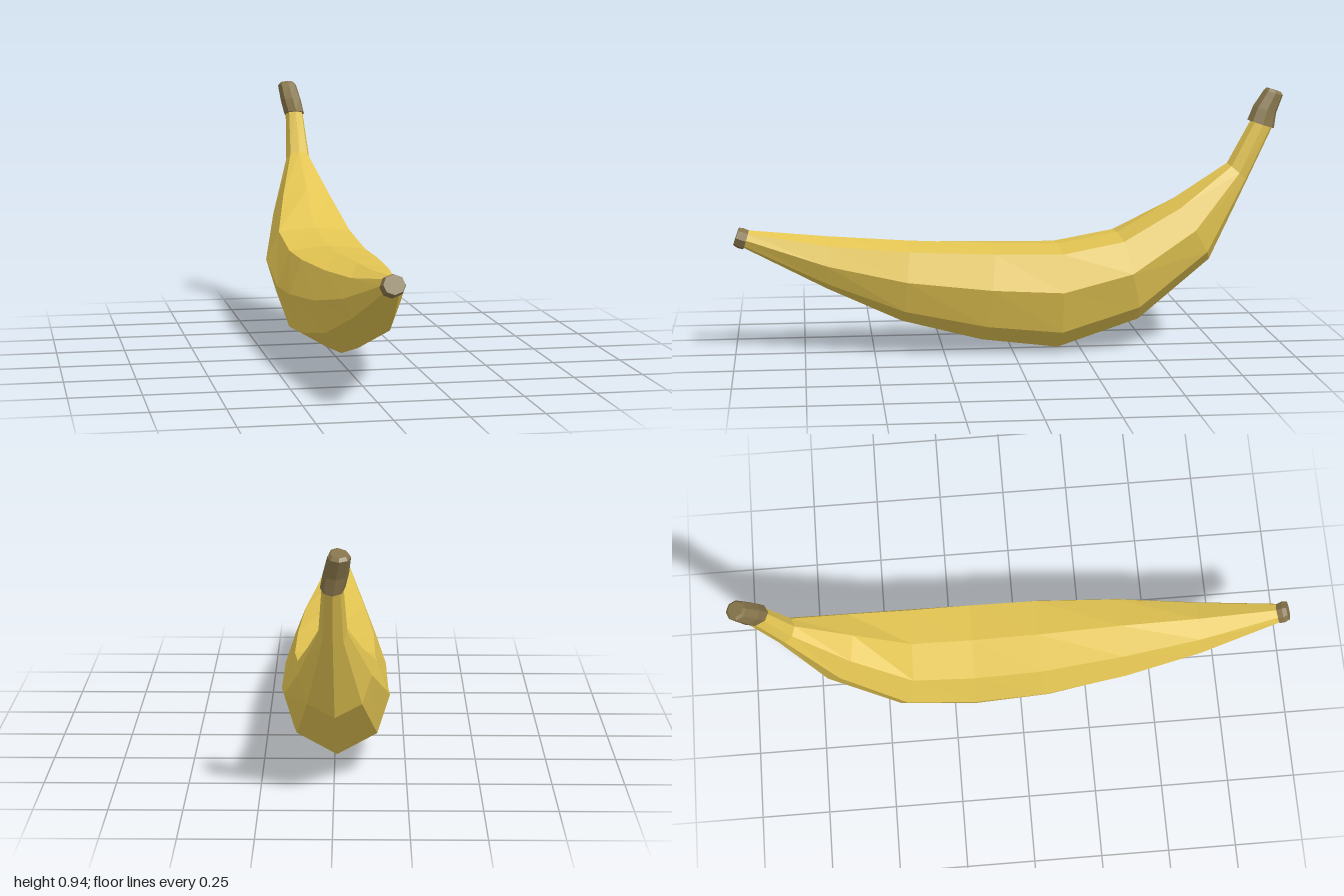
import * as THREE from 'three';

// Eight-sided section as [width, height] fractions; s blends round (0) to flat-topped (1)
function section(s) {
  const mix = (a, b) => a + (b - a) * s;
  const side = [
    [mix(0.72, 0.76), mix(0.15, 0.22)],
    [1, mix(0.5, 0.62)],
    [mix(0.72, 0.75), mix(0.86, 0.96)],
  ];
  const mirrored = side.map(([w, t]) => [-w, t]).reverse();
  return [[0, 0], ...side, [0, 1], ...mirrored];
}

// Skin rings of [zLow, yLow, zHigh, yHigh, halfWidth, xCentre, flatness], closed at both ends
function loft(rings, material, name) {
  const N = 8;
  const pos = [];
  const index = [];
  for (const [z0, y0, z1, y1, w, cx, s] of rings) {
    for (const [u, t] of section(s)) {
      pos.push(cx + u * w, y0 + (y1 - y0) * t, z0 + (z1 - z0) * t);
    }
  }
  for (let i = 0; i < rings.length - 1; i++) {
    for (let k = 0; k < N; k++) {
      const a = i * N + k;
      const b = i * N + (k + 1) % N;
      index.push(a, a + N, b, b, a + N, b + N);
    }
  }
  const last = (rings.length - 1) * N;
  for (let k = 1; k < N - 1; k++) {
    index.push(0, k, k + 1, last, last + k + 1, last + k);
  }
  const indexed = new THREE.BufferGeometry();
  indexed.setAttribute('position', new THREE.Float32BufferAttribute(pos, 3));
  indexed.setIndex(index);
  const geometry = indexed.toNonIndexed();
  geometry.computeVertexNormals();
  const mesh = new THREE.Mesh(geometry, material);
  mesh.name = name;
  return mesh;
}

export function createModel() {
  const peel = new THREE.MeshStandardMaterial({ color: 0xe2c452, flatShading: true });
  peel.name = 'peel yellow';
  const brown = new THREE.MeshStandardMaterial({ color: 0x86744a, flatShading: true });
  brown.name = 'stem brown';

  const group = new THREE.Group();
  group.name = 'banana';

  // Curved fruit, from the blossom tip to the neck
  group.add(loft([
    [0.975, 0.4, 0.955, 0.458, 0.034, 0, 0],
    [0.67, 0.24, 0.66, 0.43, 0.1, 0, 0.1],
    [0.4, 0.115, 0.375, 0.41, 0.152, 0.004, 0.6],
    [0.11, 0.038, 0.07, 0.395, 0.185, 0, 0.9],
    [-0.17, 0.003, -0.17, 0.388, 0.19, 0, 1],
    [-0.47, 0.1, -0.39, 0.425, 0.182, -0.01, 1],
    [-0.73, 0.32, -0.595, 0.548, 0.123, -0.004, 0.45],
    [-0.865, 0.61, -0.79, 0.675, 0.047, 0, 0],
    [-0.958, 0.81, -0.88, 0.84, 0.034, 0, 0],
  ], peel, 'fruit'));

  // Small dry cap on the tip
  group.add(loft([
    [1.0, 0.405, 0.978, 0.468, 0.036, 0.003, 0],
    [0.985, 0.394, 0.962, 0.466, 0.041, 0.002, 0],
    [0.965, 0.388, 0.943, 0.457, 0.038, 0, 0],
  ], brown, 'tipCap'));

  // Leaning stem with a bevelled end
  group.add(loft([
    [-0.962, 0.8, -0.863, 0.832, 0.04, 0, 0],
    [-0.972, 0.855, -0.886, 0.882, 0.041, -0.011, 0],
    [-0.998, 0.918, -0.927, 0.938, 0.037, -0.021, 0],
    [-0.99, 0.93, -0.937, 0.947, 0.028, -0.021, 0],
  ], brown, 'stem'));

  return group;
}
